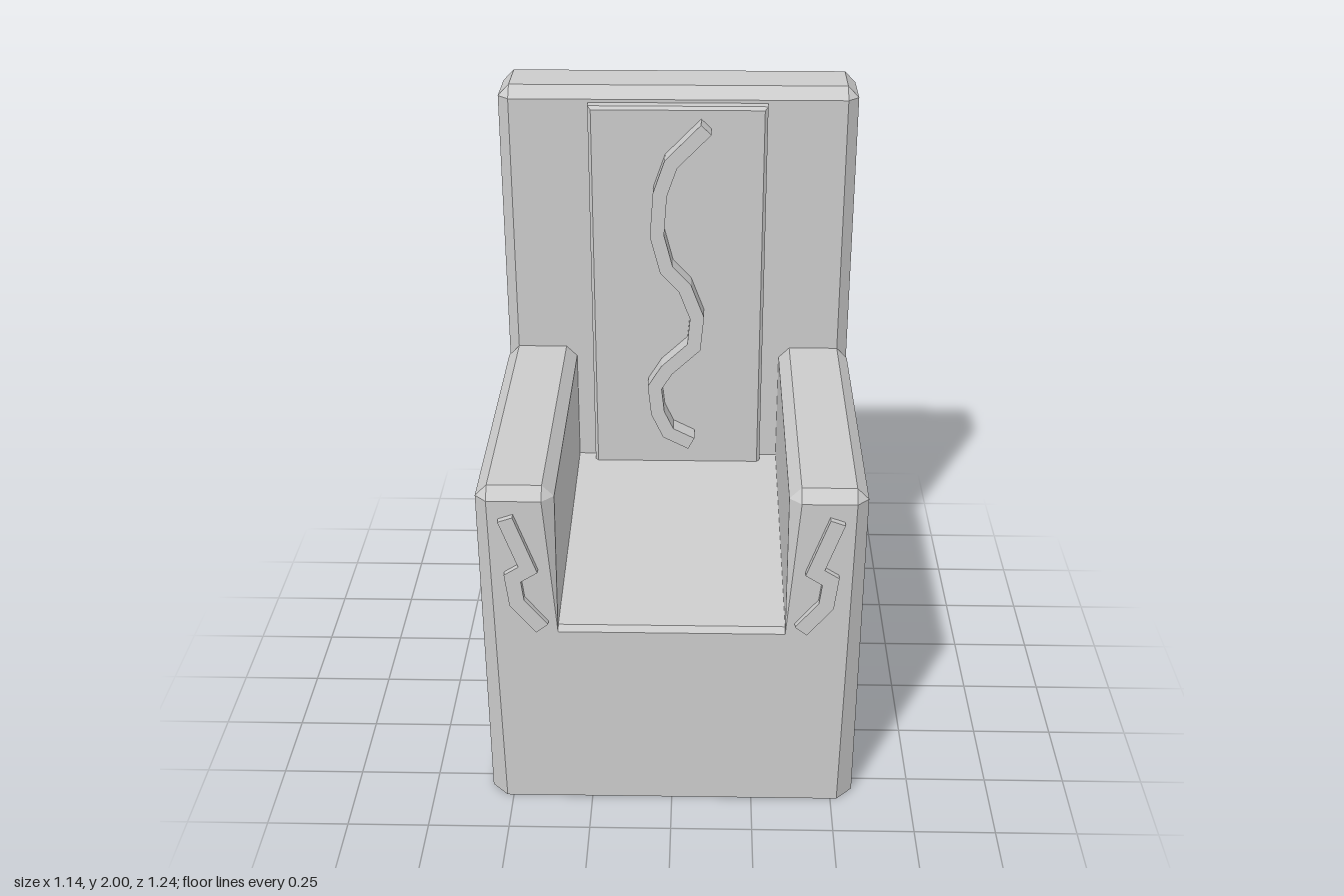
import * as THREE from 'three';

const material = new THREE.MeshStandardMaterial({ color: 0xcccccc, flatShading: true });

// Rectangle with cut corners, anticlockwise from above.
// Cuts: [front +x, back +x, back -x, front -x]
function ring(y, x0, x1, z0, z1, [a, b, c, d]) {
  return [
    [x1 - a, y, z1], [x1, y, z1 - a], [x1, y, z0 + b], [x1 - b, y, z0],
    [x0 + c, y, z0], [x0, y, z0 + c], [x0, y, z1 - d], [x0 + d, y, z1],
  ];
}

// Solid through a stack of rings, closed at both ends
function loft(rings) {
  const pos = [];
  const n = rings[0].length;
  const tri = (...pts) => pts.forEach((p) => pos.push(...p));
  for (let r = 0; r < rings.length - 1; r++) {
    const lo = rings[r], hi = rings[r + 1];
    for (let i = 0; i < n; i++) {
      const j = (i + 1) % n;
      tri(lo[i], lo[j], hi[j]);
      tri(lo[i], hi[j], hi[i]);
    }
  }
  const first = rings[0], last = rings[rings.length - 1];
  for (let i = 1; i < n - 1; i++) {
    tri(first[0], first[i + 1], first[i]);
    tri(last[0], last[i], last[i + 1]);
  }
  const geo = new THREE.BufferGeometry();
  geo.setAttribute('position', new THREE.Float32BufferAttribute(pos, 3));
  geo.computeVertexNormals();
  return geo;
}

// Raised strip of constant width along a polyline, with mitred bends
function ribbon(points, width, depth) {
  const pts = points.map(([x, y]) => new THREE.Vector2(x, y));
  const left = [], right = [];
  pts.forEach((p, i) => {
    const before = p.clone().sub(pts[Math.max(i - 1, 0)]).normalize();
    const after = pts[Math.min(i + 1, pts.length - 1)].clone().sub(p).normalize();
    const t = before.clone().add(after).normalize();
    const ref = i ? before : after;
    const half = width / 2 / Math.max(t.dot(ref), 0.6);
    const normal = new THREE.Vector2(-t.y, t.x).multiplyScalar(half);
    left.push(p.clone().add(normal));
    right.unshift(p.clone().sub(normal));
  });
  return new THREE.ExtrudeGeometry(new THREE.Shape([...left, ...right]), { depth, bevelEnabled: false });
}

export function createModel() {
  const group = new THREE.Group();
  const add = (name, geo) => {
    const mesh = new THREE.Mesh(geo, material);
    mesh.name = name;
    group.add(mesh);
    return mesh;
  };

  const W = 0.57, BACK = -0.62, REST = -0.38, FRONT = 0.6;
  const SILL = 0.625, SEAT = 0.7, IN = 0.34, C = 0.035;
  // Corner cuts narrow as they rise
  const frontCut = (y) => 0.05 - (0.015 * y) / 1.075;
  const backCut = (y) => 0.05 - (0.015 * y) / 1.965;

  // Solid base block
  add('base', loft([0, SILL].map((y) => {
    const f = frontCut(y), b = backCut(y);
    return ring(y, -W, W, BACK, FRONT, [f, b, b, f]);
  })));

  // Tall backrest; its front corners are only cut above seat level
  const restRing = (y, f) => ring(y, -W, W, BACK, REST, [f, backCut(y), backCut(y), f]);
  add('backrest', loft([
    restRing(SILL, 0), restRing(SEAT, 0), restRing(SEAT, C), restRing(1.965, C),
    ring(2, -W + C, W - C, BACK + C, REST - 0.04, [0, 0, 0, 0]),
  ]));

  // Seat sloping to the front with a bevelled lip
  const profile = [[REST, SILL], [REST, SEAT], [0.585, 0.642], [FRONT, SILL]];
  const seat = new THREE.ExtrudeGeometry(
    new THREE.Shape(profile.map(([z, y]) => new THREE.Vector2(-z, y))),
    { depth: 2 * IN, bevelEnabled: false },
  );
  seat.rotateY(Math.PI / 2).translate(-IN, 0, 0);
  add('seat', seat);

  // Arms and their front ornaments
  const zigzag = [[0.48, 1.025], [0.42, 0.855], [0.467, 0.825], [0.457, 0.74], [0.385, 0.65]];
  for (const s of [1, -1]) {
    const side = s > 0 ? 'left' : 'right';
    const armRing = (y, outer, inner, inset) => {
      const near = IN + inset, far = W - inset, z1 = FRONT - inset;
      return s > 0
        ? ring(y, near, far, REST, z1, [outer, 0, 0, inner])
        : ring(y, -far, -near, REST, z1, [inner, 0, 0, outer]);
    };
    add(side + 'Arm', loft([
      armRing(SILL, frontCut(SILL), 0, 0),
      armRing(1.075, C, C, 0),
      armRing(1.11, 0, 0, C),
    ]));
    add(side + 'ArmOrnament', ribbon(zigzag.map(([x, y]) => [s * x, y]), 0.046, 0.03))
      .position.z = 0.59;
  }

  // Back panel with bevelled front edges, lofted forwards
  const panelRing = (z, x, top) => ring(z, -x, x, -top, -0.66, [0, 0, 0, 0]);
  add('backPanel', loft([
    panelRing(REST, 0.283, 1.955), panelRing(-0.345, 0.283, 1.955), panelRing(-0.335, 0.273, 1.945),
  ]).rotateX(Math.PI / 2));

  // Wavy ornament on the panel
  const wave = [
    [0.09, 1.902], [-0.02, 1.79], [-0.055, 1.69], [-0.065, 1.55], [-0.035, 1.435],
    [0.025, 1.37], [0.065, 1.265], [0.055, 1.16], [-0.035, 1.075], [-0.075, 1.01],
    [-0.065, 0.915], [-0.03, 0.84], [0.048, 0.8],
  ];
  add('backOrnament', ribbon(wave, 0.045, 0.07)).position.z = -0.34;

  return group;
}
